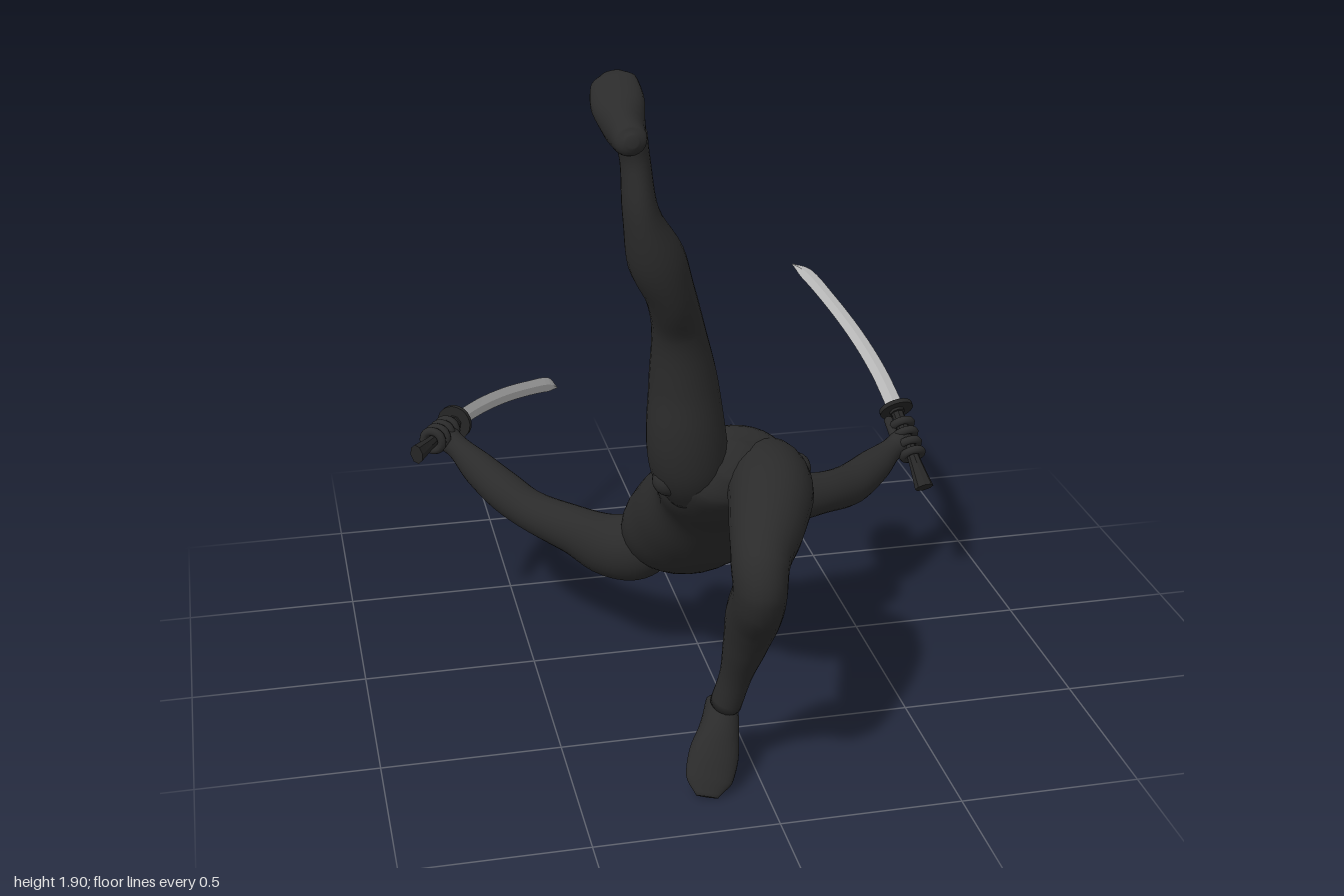
import * as THREE from 'three';

const V = (x, y, z) => new THREE.Vector3(x, y, z);
const mat = (name, color) => {
  const m = new THREE.MeshStandardMaterial({ color });
  m.name = name;
  return m;
};

// Elliptical loft through rings [x, y, z, radiusAlongRef, radiusAcross]
function loft(rings, ref, sides = 24, steps = 5, flat = false) {
  const path = new THREE.CatmullRomCurve3(rings.map(r => V(r[0], r[1], r[2])), false, 'centripetal');
  const size = new THREE.CatmullRomCurve3(rings.map(r => V(r[3], r[4], 0)), false, 'catmullrom', 0.4);
  const n = (rings.length - 1) * steps, pos = [], idx = [];
  for (let i = 0; i <= n; i++) {
    const t = i / n, c = path.getPoint(t), s = size.getPoint(t), tan = path.getTangent(t);
    const a = ref.clone().addScaledVector(tan, -ref.dot(tan)).normalize();
    const b = V(0, 0, 0).crossVectors(tan, a);
    for (let j = 0; j < sides; j++) {
      const q = j / sides * Math.PI * 2;
      const p = c.clone().addScaledVector(a, Math.cos(q) * s.x).addScaledVector(b, Math.sin(q) * s.y);
      pos.push(p.x, p.y, p.z);
    }
  }
  const first = rings[0], last = rings[rings.length - 1], c0 = pos.length / 3;
  pos.push(first[0], first[1], first[2], last[0], last[1], last[2]);
  for (let j = 0; j < sides; j++) {
    const k = (j + 1) % sides;
    for (let i = 0; i < n; i++) {
      const A = i * sides, B = A + sides;
      idx.push(A + j, A + k, B + j, A + k, B + k, B + j);
    }
    idx.push(c0, k, j, c0 + 1, n * sides + j, n * sides + k);
  }
  let g = new THREE.BufferGeometry();
  g.setAttribute('position', new THREE.Float32BufferAttribute(pos, 3));
  g.setIndex(idx);
  if (flat) g = g.toNonIndexed();
  g.computeVertexNormals();
  return g;
}

export function createModel() {
  const model = new THREE.Group();
  const suit = mat('suit black', 0x2b2b2b);
  const grip = mat('grip black', 0x262626);
  const steel = mat('blade steel', 0xb4b4b4);
  const X = V(1, 0, 0), Y = V(0, 1, 0), Z = V(0, 0, 1);
  const add = (name, geo, m = suit, parent = model) => {
    const mesh = new THREE.Mesh(geo, m);
    mesh.name = name;
    parent.add(mesh);
    return mesh;
  };

  // Torso, arched backwards from pelvis to neck
  add('torso', loft([
    [-0.03, 0.87, 0.585, 0.05, 0.05], [-0.03, 0.835, 0.545, 0.15, 0.11],
    [-0.03, 0.77, 0.455, 0.185, 0.13], [-0.035, 0.68, 0.345, 0.163, 0.135],
    [-0.04, 0.57, 0.22, 0.19, 0.16], [-0.04, 0.485, 0.12, 0.208, 0.16],
    [-0.045, 0.42, 0.03, 0.19, 0.14], [-0.05, 0.38, -0.03, 0.095, 0.085],
    [-0.06, 0.34, -0.085, 0.06, 0.065], [-0.065, 0.31, -0.12, 0.05, 0.06],
  ], V(1, 0.12, 0), 32));

  // Head: a sphere narrowed towards the jaw
  const headGeo = new THREE.SphereGeometry(1, 32, 24), hp = headGeo.attributes.position;
  for (let i = 0; i < hp.count; i++) {
    const jaw = Math.max(0, -hp.getY(i));
    hp.setX(i, hp.getX(i) * (1 - 0.28 * jaw));
    hp.setZ(i, hp.getZ(i) * (1 - 0.15 * jaw) + 0.2 * jaw);
  }
  headGeo.scale(0.093, 0.118, 0.106);
  headGeo.computeVertexNormals();
  const head = add('head', headGeo);
  head.position.set(-0.073, 0.285, -0.14);
  head.quaternion.setFromRotationMatrix(new THREE.Matrix4().makeBasis(
    V(-1, 0, 0), V(0, -0.75, -0.66), V(0, 0.66, -0.75).multiplyScalar(-1).negate()));

  // Raised right leg
  add('raisedLeg', loft([
    [-0.11, 0.76, 0.48, 0.09, 0.09], [-0.135, 0.84, 0.505, 0.107, 0.107],
    [-0.148, 0.93, 0.52, 0.107, 0.105], [-0.155, 1.08, 0.52, 0.092, 0.1],
    [-0.177, 1.25, 0.555, 0.069, 0.08], [-0.207, 1.36, 0.602, 0.065, 0.085],
    [-0.25, 1.47, 0.635, 0.074, 0.083], [-0.292, 1.6, 0.657, 0.046, 0.063],
    [-0.303, 1.73, 0.648, 0.038, 0.052], [-0.315, 1.8, 0.652, 0.042, 0.055],
  ], X));
  add('raisedFoot', loft([
    [-0.325, 1.8, 0.732, 0.015, 0.015], [-0.325, 1.797, 0.715, 0.04, 0.036],
    [-0.325, 1.8, 0.67, 0.047, 0.05], [-0.325, 1.81, 0.62, 0.055, 0.055],
    [-0.325, 1.847, 0.54, 0.068, 0.04], [-0.322, 1.885, 0.47, 0.058, 0.022],
    [-0.32, 1.9, 0.44, 0.025, 0.008],
  ], V(1, 0.3, 0)));

  // Bent left leg
  add('bentLeg', loft([
    [0.06, 0.77, 0.44, 0.1, 0.09], [0.07, 0.785, 0.53, 0.113, 0.11],
    [0.055, 0.785, 0.64, 0.115, 0.11], [0.012, 0.755, 0.77, 0.1, 0.1],
    [-0.03, 0.705, 0.875, 0.077, 0.085], [-0.035, 0.64, 0.893, 0.07, 0.088],
    [-0.033, 0.53, 0.818, 0.073, 0.083], [-0.043, 0.42, 0.772, 0.06, 0.062],
    [-0.06, 0.31, 0.738, 0.045, 0.04], [-0.08, 0.21, 0.708, 0.043, 0.045],
  ], X));
  add('bentFoot', loft([
    [-0.08, 0.212, 0.652, 0.015, 0.015], [-0.082, 0.2, 0.664, 0.04, 0.035],
    [-0.09, 0.175, 0.695, 0.048, 0.053], [-0.103, 0.145, 0.73, 0.055, 0.053],
    [-0.127, 0.095, 0.773, 0.068, 0.04], [-0.15, 0.045, 0.815, 0.063, 0.024],
    [-0.162, 0.012, 0.845, 0.03, 0.008],
  ], X));

  // Round hip joints
  for (const x of [-0.198, 0.15]) {
    add('hipJoint', new THREE.SphereGeometry(0.044, 20, 14)).position.set(x, 0.805, 0.53);
  }

  // Arms, each running into the palm
  add('rightArm', loft([
    [-0.13, 0.39, 0.06, 0.08, 0.08], [-0.2, 0.375, 0.05, 0.1, 0.09],
    [-0.27, 0.375, 0.02, 0.095, 0.083], [-0.365, 0.41, -0.03, 0.073, 0.068],
    [-0.48, 0.44, -0.13, 0.06, 0.06], [-0.545, 0.475, -0.2, 0.06, 0.06],
    [-0.61, 0.52, -0.28, 0.054, 0.05], [-0.665, 0.568, -0.345, 0.036, 0.036],
    [-0.7, 0.59, -0.385, 0.035, 0.045], [-0.725, 0.6, -0.405, 0.015, 0.02],
  ], Y));
  add('leftArm', loft([
    [0.05, 0.44, 0.06, 0.08, 0.08], [0.12, 0.46, 0.045, 0.105, 0.095],
    [0.18, 0.465, 0.03, 0.102, 0.09], [0.28, 0.462, 0, 0.08, 0.074],
    [0.39, 0.45, -0.04, 0.063, 0.063], [0.5, 0.427, -0.125, 0.062, 0.066],
    [0.61, 0.43, -0.235, 0.052, 0.057], [0.69, 0.447, -0.305, 0.037, 0.037],
    [0.735, 0.457, -0.335, 0.045, 0.035], [0.765, 0.462, -0.355, 0.02, 0.015],
  ], Y));

  // Sword and gripping fingers; the blade bows through mid along its width
  function sword(side, pommel, guard, mid, tip, wide) {
    const g = new THREE.Group();
    g.name = side + 'Sword';
    model.add(g);
    const axis = guard.clone().sub(pommel).normalize();
    const control = mid.clone().multiplyScalar(2).addScaledVector(guard, -0.5).addScaledVector(tip, -0.5);
    const curve = new THREE.QuadraticBezierCurve3(guard, control, tip);
    const rings = [0, 0.25, 0.5, 0.75, 0.93].map((t, i) => [...curve.getPoint(t).toArray(), 0.027 - i * 0.001, 0.007]);
    rings.push([...tip.clone().addScaledVector(wide, -0.014).toArray(), 0.002, 0.001]);
    add('blade', loft(rings, wide, 4, 4, true), steel, g);

    const at = t => pommel.clone().lerp(guard, t);
    add('handle', loft([
      [...at(0).toArray(), 0.03, 0.02], [...at(0.16).toArray(), 0.025, 0.018],
      [...at(0.4).toArray(), 0.019, 0.015], [...at(1).toArray(), 0.02, 0.016],
    ], wide, 8, 2, true), grip, g);
    const place = (mesh, p, from) => {
      mesh.position.copy(p);
      mesh.quaternion.setFromUnitVectors(from, axis);
    };
    place(add('guard', new THREE.CylinderGeometry(0.054, 0.054, 0.014, 20), grip, g), guard, Y);
    place(add('collar', new THREE.CylinderGeometry(0.025, 0.025, 0.03, 8), grip, g), guard, Y);

    const hand = new THREE.Group();
    hand.name = side + 'Hand';
    model.add(hand);
    for (let i = 0; i < 4; i++) {
      place(add('finger', new THREE.TorusGeometry(0.03, 0.0135, 8, 18), suit, hand), at(0.42 + i * 0.125), Z);
    }
    const thumb = add('thumb', new THREE.CapsuleGeometry(0.015, 0.05, 4, 10), suit, hand);
    place(thumb, at(0.78).addScaledVector(wide, -0.036), Y);
  }
  sword('right', V(-0.8, 0.607, -0.23), V(-0.66, 0.602, -0.46), V(-0.475, 0.565, -0.73),
    V(-0.262, 0.482, -0.997), V(-0.2, 0.98, 0));
  sword('left', V(0.767, 0.362, -0.19), V(0.738, 0.54, -0.412), V(0.678, 0.7, -0.68),
    V(0.55, 0.86, -0.957), V(0.99, 0.1, 0.05));

  return model;
}
